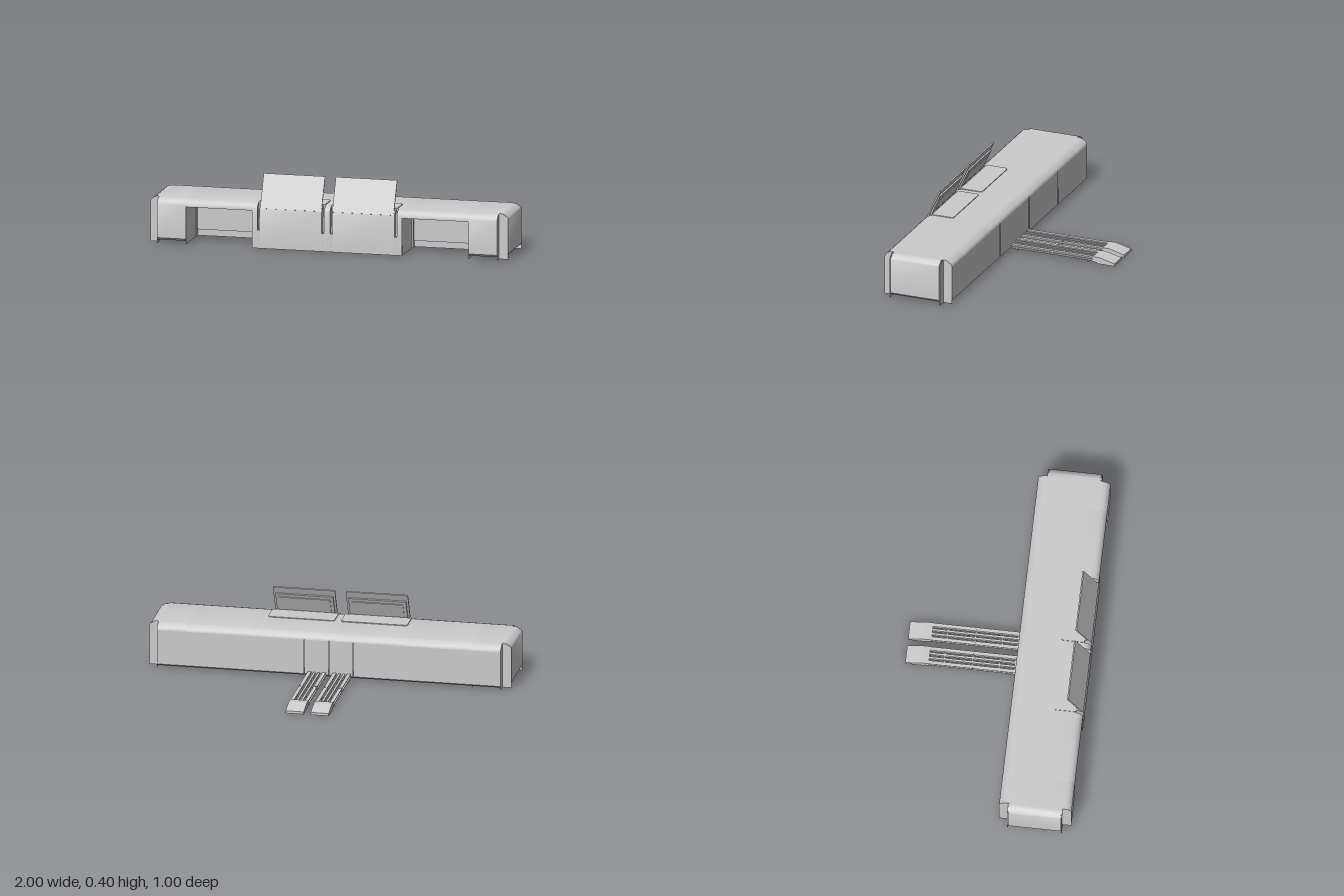
import * as THREE from 'three';
import { toCreasedNormals } from 'three/addons/utils/BufferGeometryUtils.js';

const solid = new THREE.MeshStandardMaterial({ color: 0xcccccc });
const thin = new THREE.MeshStandardMaterial({ color: 0xcccccc, side: THREE.DoubleSide });

function add(parent, name, geometry, material = thin) {
  const mesh = new THREE.Mesh(geometry, material);
  mesh.name = name;
  parent.add(mesh);
  return mesh;
}

// box given by its limits
function block(parent, name, x0, x1, y0, y1, z0, z1) {
  const m = add(parent, name, new THREE.BoxGeometry(x1 - x0, y1 - y0, z1 - z0), solid);
  m.position.set((x0 + x1) / 2, (y0 + y1) / 2, (z0 + z1) / 2);
  return m;
}

// sheet sweeping a [u, y] polyline along x (u = z) or along z (u = x)
function sheet(parent, name, pts, axis, t0, t1) {
  const pos = [];
  const put = ([u, y], t) => (axis === 'x' ? pos.push(t, y, u) : pos.push(u, y, t));
  for (let i = 0; i + 1 < pts.length; i++) {
    const [a, b] = [pts[i], pts[i + 1]];
    put(a, t0); put(a, t1); put(b, t1);
    put(a, t0); put(b, t1); put(b, t0);
  }
  const g = new THREE.BufferGeometry();
  g.setAttribute('position', new THREE.Float32BufferAttribute(pos, 3));
  return add(parent, name, toCreasedNormals(g, 0.6));
}

const shape = (pts) => new THREE.Shape(pts.map(([u, y]) => new THREE.Vector2(u, y)));

// flat plate from a [u, y] outline, across x (u = z) or across z (u = x)
function plate(parent, name, pts, axis, at) {
  const g = new THREE.ShapeGeometry(shape(pts));
  if (axis === 'x') g.rotateY(-Math.PI / 2).translate(at, 0, 0);
  else g.translate(0, 0, at);
  return add(parent, name, g);
}

// housing profile in z, y from front to back
const frontCurve = [[0.5, 0.217], [0.492, 0.234], [0.479, 0.245], [0.46, 0.25]];
const backCurve = [[0.147, 0.25], [0.135, 0.247], [0.112, 0.231], [0.107, 0.224], [0.105, 0.215]];
const upper = [...frontCurve, ...backCurve];

function housing() {
  const g = new THREE.Group();
  g.name = 'housing';
  // widths along x: closed front, lipped front, open bay, or slot beside a flap
  const spans = [
    [-0.95, -0.79, 'lipped'], [-0.79, -0.42, 'bay'], [-0.42, -0.39, 'closed'], [-0.39, -0.377, 'slot'],
    [-0.377, -0.03, 'closed'], [-0.03, -0.016, 'slot'], [-0.016, 0.016, 'closed'], [0.016, 0.03, 'slot'],
    [0.03, 0.377, 'closed'], [0.377, 0.39, 'slot'], [0.39, 0.42, 'closed'], [0.42, 0.79, 'bay'], [0.79, 0.95, 'lipped'],
  ];
  for (const [a, b, kind] of spans) {
    if (kind === 'closed') sheet(g, 'shell', [[0.5, 0], ...upper], 'x', a, b);
    if (kind === 'lipped') sheet(g, 'shellWithLip', [[0.488, 0.018], [0.5, 0.03], ...upper], 'x', a, b);
    if (kind === 'bay') sheet(g, 'shellAboveBay', [[0.5, 0.21], ...upper], 'x', a, b);
    if (kind === 'slot') {
      sheet(g, 'slotFront', [[0.5, 0], [0.5, 0.1]], 'x', a, b);
      sheet(g, 'slotTop', [[0.46, 0.25], ...backCurve], 'x', a, b);
      sheet(g, 'slotLining', [[0.5, 0.1], [0.475, 0.1], [0.46, 0.25]], 'x', a, b);
      for (const x of [a, b]) plate(g, 'slotCheek', [[0.475, 0.1], [0.5, 0.1], ...frontCurve], 'x', x);
    }
  }
  // row of back panels, lipped at the bottom
  const n = 14, w = 1.9 / n;
  for (let i = 0; i < n; i++) {
    const x = -0.95 + i * w;
    sheet(g, 'backPanel', [[0.105, 0.215], [0.105, 0.02], [0.117, 0.01]], 'x', x + 0.0004, x + w - 0.0004);
  }
  // inner wall, leaving an open channel along the back
  block(g, 'innerWall', -0.95, 0.95, 0.002, 0.249, 0.25, 0.26);
  for (const x of [-0.79, -0.42, 0, 0.42, 0.79]) {
    const z = Math.abs(x) > 0.5 ? 0.118 : 0.26;
    plate(g, 'divider', [[z, 0], [0.498, 0], [0.498, 0.215], [0.46, 0.248], [0.26, 0.248], [z, 0.22]], 'x', x);
  }
  // end walls standing on their corners
  const endOutline = [[0.452, 0.03], [0.452, 0], [0.5, 0], ...upper, [0.105, 0], [0.155, 0], [0.155, 0.03]];
  for (const s of [-1, 1]) plate(g, 'endWall', endOutline, 'x', s * 0.95);
  return g;
}

// fittings in one open bay
function bay(x0, x1) {
  const g = new THREE.Group();
  g.name = 'bay';
  block(g, 'bayCeiling', x0, x1, 0.207, 0.212, 0.26, 0.499);
  block(g, 'bayBackPanel', x0 + 0.01, x1 - 0.01, 0.04, 0.17, 0.26, 0.28);
  // overhanging bar with a sloped underside
  sheet(g, 'bayBar', [[0.28, 0.17], [0.315, 0.192], [0.315, 0.197], [0.26, 0.197]], 'x', x0 + 0.01, x1 - 0.01);
  for (const x of [x0, x1 - 0.008]) block(g, 'bayFrame', x, x + 0.008, 0, 0.21, 0.26, 0.29);
  return g;
}

// projecting end cover with chamfered top; s is the side
function endCover(s) {
  const g = new THREE.Group();
  g.name = 'endCover';
  const top = [[0.95, 0.25], [0.967, 0.25], [0.977, 0.246], [0.996, 0.232], [1, 0.225]].map(([x, y]) => [s * x, y]);
  const lip = [[s, 0.03], [s * 0.988, 0.018]];
  sheet(g, 'endPanel', [...top, ...lip], 'z', 0.161, 0.445);
  // floor of the grooves beside the panel
  const groove = [...top, [s, 0.03]].map(([x, y]) => [x - s * 0.006, y - 0.004]);
  for (const z of [0.157, 0.445]) sheet(g, 'endGroove', groove, 'z', z, z + 0.004);
  for (const z of [0.161, 0.445]) plate(g, 'endPanelSide', [...top, ...lip, [s * 0.95, 0.018]], 'z', z);
  // fins at the corners reach the floor
  const fin = new THREE.ExtrudeGeometry(shape([...top, [s, 0], [s * 0.95, 0]]), { depth: 0.003, bevelEnabled: false });
  for (const z of [0.154, 0.449]) add(g, 'endFin', fin).position.z = z;
  return g;
}

// raised flap with stiffened back, and the thin tray behind it
function flap(x0, x1) {
  const g = new THREE.Group();
  g.name = 'flapUnit';
  const mid = (x0 + x1) / 2, w = x1 - x0;
  const leaf = new THREE.Group();
  leaf.name = 'flap';
  leaf.position.set(mid, 0.22, 0.496);
  leaf.rotation.x = -0.428;
  block(leaf, 'flapLeaf', -w / 2, w / 2, 0, 0.196, -0.004, 0.004);
  block(leaf, 'flapBacking', -w / 2 + 0.012, w / 2 - 0.012, 0.03, 0.155, -0.012, -0.004);
  block(leaf, 'flapRib', -w / 2 + 0.03, w / 2 - 0.03, 0.05, 0.135, -0.016, -0.012);
  g.add(leaf);
  // rounded tray
  const r = 0.015, h = w / 2 + 0.012, s = new THREE.Shape();
  s.moveTo(-h, -0.46);
  s.lineTo(h, -0.46);
  s.lineTo(h, -0.335 - r);
  s.quadraticCurveTo(h, -0.335, h - r, -0.335);
  s.lineTo(-h + r, -0.335);
  s.quadraticCurveTo(-h, -0.335, -h, -0.335 - r);
  const tray = new THREE.ExtrudeGeometry(s, { depth: 0.004, bevelEnabled: false });
  add(g, 'tray', tray.rotateX(-Math.PI / 2).translate(mid, 0.25, 0), solid);
  return g;
}

// one track of the ramp at the back
function track(x0) {
  const g = new THREE.Group();
  g.name = 'rampTrack';
  const w = 0.1, mid = x0 + w / 2;
  // outer rails with a groove along the outside, and plain inner rails
  for (const s of [-1, 1]) {
    const section = [[0.03, 0.012], [0.05, 0.012], [0.05, 0.016], [0.043, 0.019], [0.05, 0.03], [0.05, 0.034], [0.03, 0.034]];
    const rail = new THREE.ExtrudeGeometry(shape(section.map(([x, y]) => [s * x, y])), { depth: 0.49, bevelEnabled: false });
    add(g, 'outerRail', rail.translate(mid, 0, -0.38), solid);
    for (const z of [0.073, -0.345]) block(g, 'foot', mid + s * 0.043 - 0.006, mid + s * 0.043 + 0.006, 0.002, 0.013, z - 0.004, z + 0.004);
    block(g, 'joint', mid + s * 0.044 - 0.006, mid + s * 0.044 + 0.006, 0.012, 0.038, -0.139, -0.135);
    block(g, 'innerRail', mid + s * 0.012 - 0.006, mid + s * 0.012 + 0.006, 0.013, 0.033, -0.38, 0.11);
  }
  for (const z of [-0.29, -0.137, 0.01, 0.095]) block(g, 'rung', x0 + 0.01, x0 + w - 0.01, 0.016, 0.028, z - 0.004, z + 0.004);
  // sloping tip
  const side = [[-0.373, 0.01], [-0.373, 0.037], [-0.412, 0.037], [-0.5, 0.014], [-0.5, 0], [-0.395, 0], [-0.395, 0.006]];
  const tip = new THREE.ExtrudeGeometry(shape(side), { depth: w, bevelEnabled: false });
  add(g, 'rampTip', tip.rotateY(-Math.PI / 2).translate(x0 + w, 0, 0), solid);
  return g;
}

export function createModel() {
  const model = new THREE.Group();
  model.name = 'lowHousingWithRamp';
  model.add(housing());
  model.add(bay(-0.79, -0.42), bay(0.42, 0.79));
  model.add(endCover(-1), endCover(1));
  model.add(flap(-0.375, -0.032), flap(0.028, 0.371));
  model.add(track(-0.122), track(0.016));
  return model;
}
